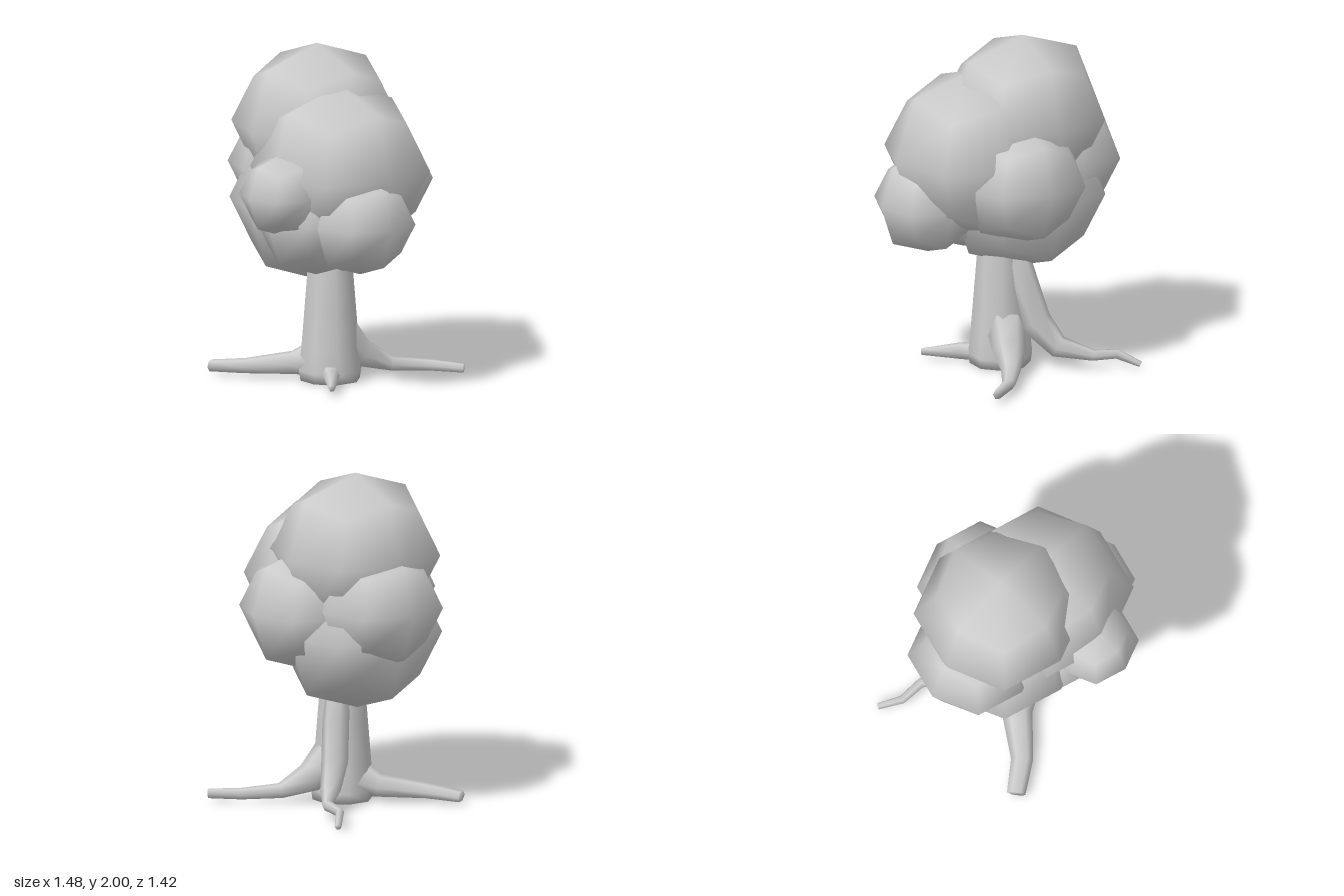
import * as THREE from 'three';
import { mergeVertices } from 'three/addons/utils/BufferGeometryUtils.js';

const material = new THREE.MeshStandardMaterial({ color: 0xcccccc });

function addMesh(parent, geometry, name) {
  const mesh = new THREE.Mesh(geometry, material);
  mesh.name = name;
  parent.add(mesh);
  return mesh;
}

// Rounded cube: each side split in four, edges and corners pulled inward
function leafClumpGeometry() {
  let g = new THREE.BoxGeometry(2, 2, 2, 2, 2, 2);
  g.deleteAttribute('uv');
  g.deleteAttribute('normal');
  g = mergeVertices(g);
  const pull = [1, 1, 0.75, 0.5556];
  const p = g.attributes.position;
  const v = new THREE.Vector3();
  for (let i = 0; i < p.count; i++) {
    v.fromBufferAttribute(p, i);
    const n = Math.round(Math.abs(v.x) + Math.abs(v.y) + Math.abs(v.z));
    v.multiplyScalar(pull[n]);
    p.setXYZ(i, v.x, v.y, v.z);
  }
  g.computeVertexNormals();
  return g;
}

// Tapered limb through rings [x, y, z, halfWidth, halfHeight], kept above the ground
function limbGeometry(rings, sides = 6) {
  const pts = rings.map(([x, y, z]) => new THREE.Vector3(x, y, z));
  const pos = [], idx = [];
  const last = pts.length - 1;
  pts.forEach((p, i) => {
    const t = pts[Math.min(i + 1, last)].clone().sub(pts[Math.max(i - 1, 0)]).normalize();
    const side = t.clone().cross(new THREE.Vector3(0, 1, 0)).normalize();
    const up = side.clone().cross(t);
    const [, , , w, h] = rings[i];
    for (let j = 0; j < sides; j++) {
      const a = (j / sides) * Math.PI * 2;
      const q = p.clone().addScaledVector(side, Math.cos(a) * w).addScaledVector(up, Math.sin(a) * h);
      pos.push(q.x, Math.max(q.y, 0.005), q.z);
    }
  });
  for (let i = 0; i < last; i++) {
    for (let j = 0; j < sides; j++) {
      const a = i * sides + j, b = i * sides + (j + 1) % sides;
      idx.push(a, a + sides, b, b, a + sides, b + sides);
    }
  }
  // tip cap
  const base = last * sides;
  for (let j = 1; j < sides - 1; j++) idx.push(base, base + j + 1, base + j);
  const g = new THREE.BufferGeometry();
  g.setAttribute('position', new THREE.Float32BufferAttribute(pos, 3));
  g.setIndex(idx);
  g.computeVertexNormals();
  return g;
}

export function createModel() {
  const tree = new THREE.Group();
  tree.name = 'tree';

  // Crown: overlapping clumps [name, x, y, z, radius]
  const crown = new THREE.Group();
  crown.name = 'crown';
  tree.add(crown);
  const clump = leafClumpGeometry();
  const clumps = [
    ['topClump', -0.145, 1.52, -0.01, 0.48],
    ['upperLeftClump', 0.165, 1.305, 0.05, 0.505],
    ['lowerClump', -0.15, 1.06, 0, 0.48],
    ['lowerFrontClump', 0.13, 1.04, 0.2, 0.36],
    ['leftClump', 0.43, 1.03, 0.1, 0.31],
    ['frontClump', 0.16, 1.2, 0.46, 0.25],
    ['backClump', 0, 1.19, -0.27, 0.37],
    ['rightClump', -0.365, 1.24, -0.01, 0.375],
  ];
  for (const [name, x, y, z, r] of clumps) {
    const mesh = addMesh(crown, clump, name);
    mesh.position.set(x, y, z);
    mesh.scale.setScalar(r);
  }

  // Trunk: eight-sided, slightly flared at the foot
  const profile = [[0, 0], [0.18, 0], [0.19, 0.06], [0.175, 0.2], [0.155, 0.45], [0.135, 0.7], [0.11, 0.9]];
  const trunk = addMesh(tree, new THREE.LatheGeometry(profile.map(([r, y]) => new THREE.Vector2(r, y)), 8), 'trunk');
  trunk.rotation.y = Math.PI / 8;

  // Roots spreading over the ground; the back right one climbs the trunk as a buttress
  const roots = {
    frontRightRoot: [
      [-0.03, 0.14, 0.03, 0.14, 0.13], [-0.17, 0.09, 0.15, 0.09, 0.07],
      [-0.36, 0.065, 0.36, 0.065, 0.045], [-0.54, 0.05, 0.475, 0.055, 0.035],
    ],
    backLeftRoot: [
      [0.01, 0.26, -0.08, 0.12, 0.12], [0.05, 0.14, -0.2, 0.1, 0.09], [0.12, 0.07, -0.36, 0.06, 0.045],
      [0.24, 0.055, -0.56, 0.04, 0.035], [0.39, 0.045, -0.69, 0.025, 0.03],
    ],
    backRightRoot: [
      [-0.05, 0.72, -0.06, 0.07, 0.09], [-0.09, 0.5, -0.11, 0.08, 0.1], [-0.15, 0.27, -0.16, 0.08, 0.1],
      [-0.25, 0.13, -0.26, 0.06, 0.07], [-0.41, 0.09, -0.395, 0.03, 0.035],
      [-0.56, 0.08, -0.41, 0.025, 0.03], [-0.67, 0.025, -0.5, 0.02, 0.018],
    ],
    frontLeftRoot: [
      [0.06, 0.06, 0.05, 0.07, 0.06], [0.2, 0.06, 0.14, 0.045, 0.05], [0.38, 0.045, 0.27, 0.02, 0.02],
    ],
  };
  for (const [name, rings] of Object.entries(roots)) addMesh(tree, limbGeometry(rings), name);

  return tree;
}
